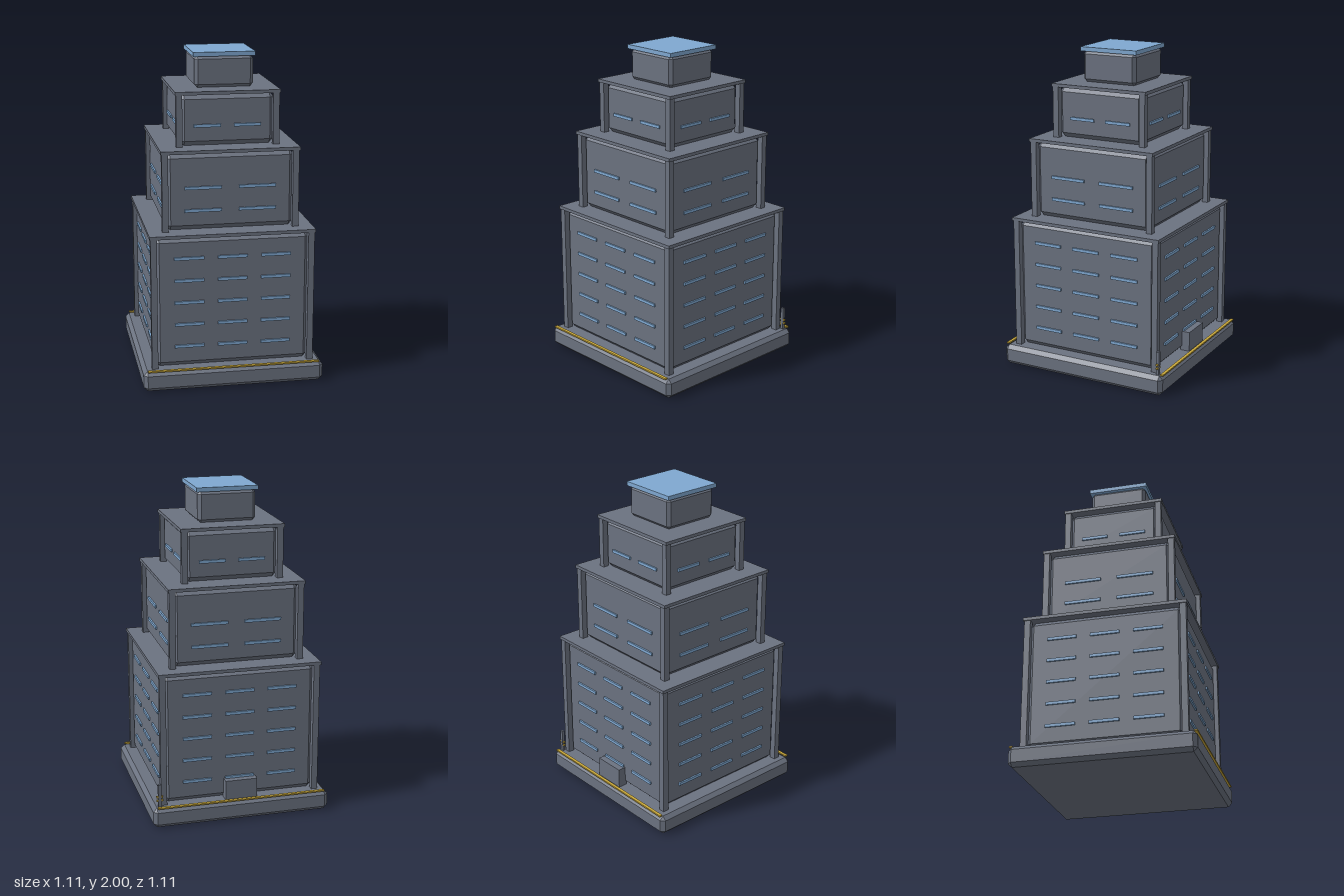
import * as THREE from 'three';
import { ConvexGeometry } from 'three/addons/geometries/ConvexGeometry.js';

const material = (name, color) => {
  const m = new THREE.MeshStandardMaterial({ color });
  m.name = name;
  return m;
};

// Box with every edge cut at 45 degrees, standing on y = 0
function chamferBox(half, height, c) {
  const pts = [];
  const h = height / 2;
  for (const x of [-1, 1]) for (const y of [-1, 1]) for (const z of [-1, 1]) {
    pts.push(
      new THREE.Vector3(x * half, h + y * (h - c), z * (half - c)),
      new THREE.Vector3(x * (half - c), h + y * h, z * (half - c)),
      new THREE.Vector3(x * (half - c), h + y * (h - c), z * half)
    );
  }
  return new ConvexGeometry(pts);
}

export function createModel() {
  const grey = material('slate grey', 0x6b7280);
  const blue = material('window blue', 0x7fa8d1);
  const gold = material('gold trim', 0xc9a83a);
  const model = new THREE.Group();
  model.name = 'steppedTower';

  const add = (parent, name, geometry, mat, x, y, z) => {
    const mesh = new THREE.Mesh(geometry, mat);
    mesh.name = name;
    mesh.position.set(x, y, z);
    parent.add(mesh);
    return mesh;
  };
  const box = (parent, name, mat, w, h, d, x, y, z) =>
    add(parent, name, new THREE.BoxGeometry(w, h, d), mat, x, y, z);

  // Plinth
  add(model, 'base', chamferBox(0.555, 0.125, 0.024), grey, 0, 0, 0);

  // Stepped tiers: bevelled body, corner posts, roof slab, window slats on all sides
  const tiers = [
    { name: 'lowerTier', y0: 0.125, y1: 0.96, roof: 0.505, slat: 0.18,
      cols: [-0.265, 0, 0.265], rows: [0.255, 0.394, 0.533, 0.671, 0.81] },
    { name: 'middleTier', y0: 0.96, y1: 1.452, roof: 0.422, slat: 0.227,
      cols: [-0.165, 0.165], rows: [1.081, 1.22] },
    { name: 'upperTier', y0: 1.452, y1: 1.785, roof: 0.32, slat: 0.165,
      cols: [-0.122, 0.122], rows: [1.575] },
  ];
  for (const t of tiers) {
    const tier = new THREE.Group();
    tier.name = t.name;
    model.add(tier);
    const wall = t.roof - 0.03;
    const top = t.y1 - 0.02;
    add(tier, 'body', chamferBox(wall, top - t.y0, 0.03), grey, 0, t.y0, 0);
    box(tier, 'roofSlab', grey, t.roof * 2, 0.02, t.roof * 2, 0, t.y1 - 0.01, 0);
    const p = t.roof - 0.025;
    for (const x of [-p, p]) for (const z of [-p, p])
      box(tier, 'cornerPost', grey, 0.038, top - t.y0, 0.038, x, (top + t.y0) / 2, z);
    for (let i = 0; i < 4; i++) {
      const side = new THREE.Group();
      side.name = 'windowSide';
      side.rotation.y = i * Math.PI / 2;
      tier.add(side);
      for (const y of t.rows) for (const x of t.cols)
        box(side, 'window', blue, t.slat, 0.018, 0.02, x, y, wall);
    }
  }

  // Penthouse and blue cap
  add(model, 'penthouse', chamferBox(0.18, 0.193, 0.02), grey, 0, 1.784, 0);
  box(model, 'cap', blue, 0.38, 0.026, 0.38, 0, 1.987, 0);

  // Trim strips along the front and back edges of the plinth
  for (const z of [-0.545, 0.545])
    box(model, 'trimStrip', gold, 1.055, 0.009, 0.019, -0.001, 0.129, z);

  // Back door
  box(model, 'door', grey, 0.2, 0.125, 0.06, 0, 0.187, -0.495);

  // Signpost with two crossbars at the back corner
  box(model, 'signPost', grey, 0.02, 0.145, 0.018, 0.51, 0.197, -0.513);
  for (const y of [0.167, 0.189])
    box(model, 'signBar', gold, 0.04, 0.01, 0.014, 0.51, y, -0.513);

  return model;
}
